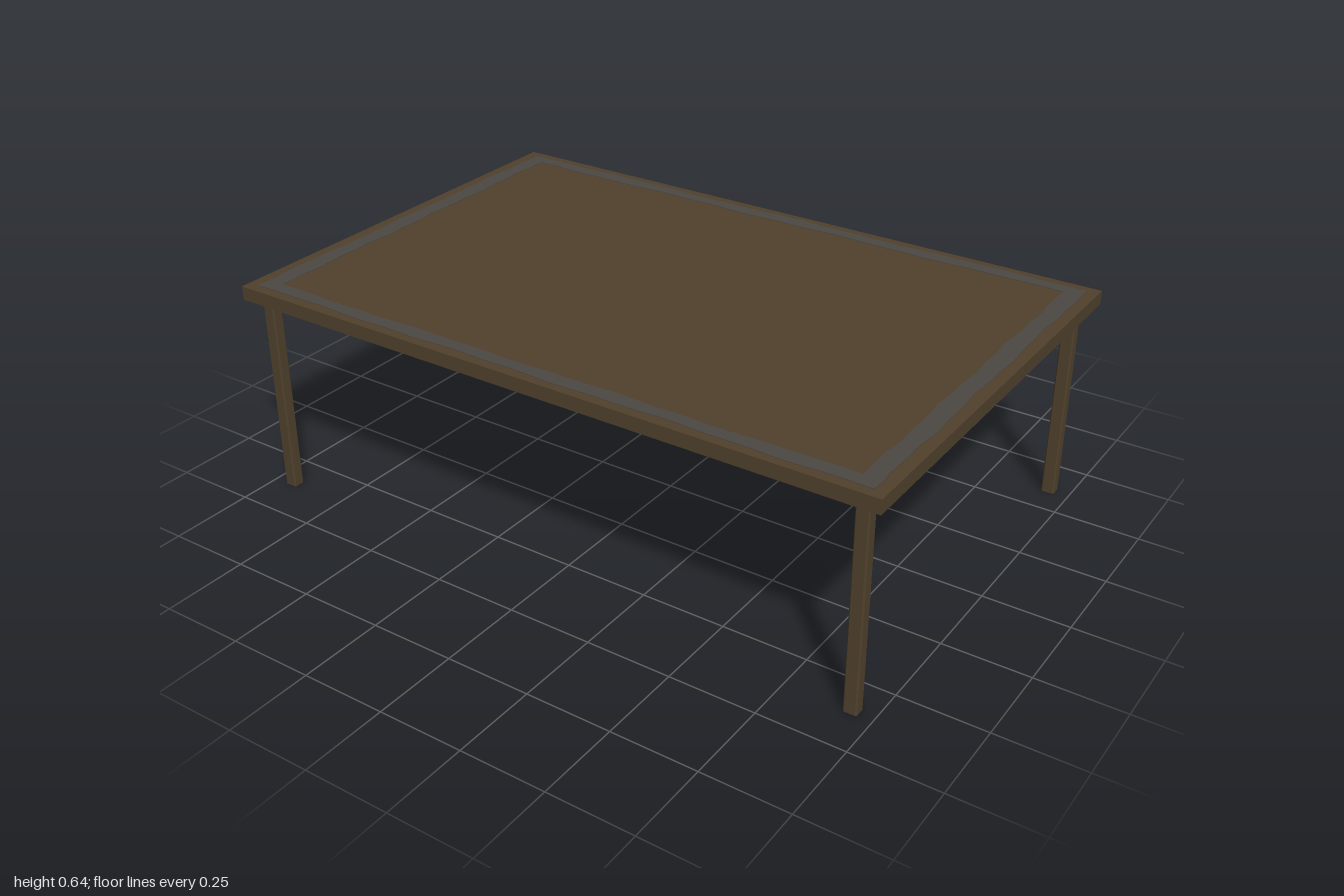
import * as THREE from 'three';

const HALF_X = 1, HALF_Z = 0.656, TOP_Y = 0.643, UNDER_Y = 0.602;

// Rectangle outline with slightly uneven, hand-painted edges
function wavyRect(hx, hy, phase) {
  const corners = [[-hx, -hy], [hx, -hy], [hx, hy], [-hx, hy]];
  const points = [];
  const steps = 30;
  corners.forEach(([x0, y0], side) => {
    const [x1, y1] = corners[(side + 1) % 4];
    const alongX = y0 === y1;
    for (let i = 0; i < steps; i++) {
      const t = i / steps;
      const a = t * 20 + side * 2.3 + phase;
      const w = i === 0 ? 0 : 0.0025 * Math.sin(a) + 0.002 * Math.sin(a * 2.7 + 1);
      points.push(new THREE.Vector2(
        x0 + (x1 - x0) * t + (alongX ? 0 : w),
        y0 + (y1 - y0) * t + (alongX ? w : 0)));
    }
  });
  return points;
}

// Square post section with small chamfered corners
function postShape(hx, hy, c) {
  return new THREE.Shape([
    [-hx + c, -hy], [hx - c, -hy], [hx, -hy + c], [hx, hy - c],
    [hx - c, hy], [-hx + c, hy], [-hx, hy - c], [-hx, -hy + c],
  ].map(([x, y]) => new THREE.Vector2(x, y)));
}

export function createModel() {
  const wood = new THREE.MeshStandardMaterial({ color: 0x4f402c });
  wood.name = 'dark wood';
  const grey = new THREE.MeshStandardMaterial({ color: 0x4b4844 });
  grey.name = 'worn grey';

  const table = new THREE.Group();
  table.name = 'table';
  const add = (name, geometry, material, x, y, z) => {
    const mesh = new THREE.Mesh(geometry, material);
    mesh.name = name;
    mesh.position.set(x, y, z);
    table.add(mesh);
  };

  // Table top slab
  add('tableTop', new THREE.BoxGeometry(HALF_X * 2, TOP_Y - UNDER_Y, HALF_Z * 2),
    wood, 0, (TOP_Y + UNDER_Y) / 2, 0);

  // Painted border band set in from the edge
  const band = new THREE.Shape(wavyRect(0.966, 0.628, 0));
  band.holes.push(new THREE.Path(wavyRect(0.915, 0.587, 1.7)));
  const bandGeometry = new THREE.ExtrudeGeometry(band, { depth: 0.002, bevelEnabled: false });
  bandGeometry.rotateX(-Math.PI / 2);
  add('borderBand', bandGeometry, grey, 0, TOP_Y, 0);

  // Four legs near the corners
  const legGeometry = new THREE.ExtrudeGeometry(postShape(0.0195, 0.0175, 0.004),
    { depth: UNDER_Y, bevelEnabled: false });
  legGeometry.rotateX(-Math.PI / 2);
  for (const [zName, sz] of [['front', 1], ['back', -1]]) {
    for (const [xName, sx] of [['Left', 1], ['Right', -1]]) {
      add(`${zName}${xName}Leg`, legGeometry, wood, sx * 0.939, 0, sz * 0.608);
    }
  }
  return table;
}
